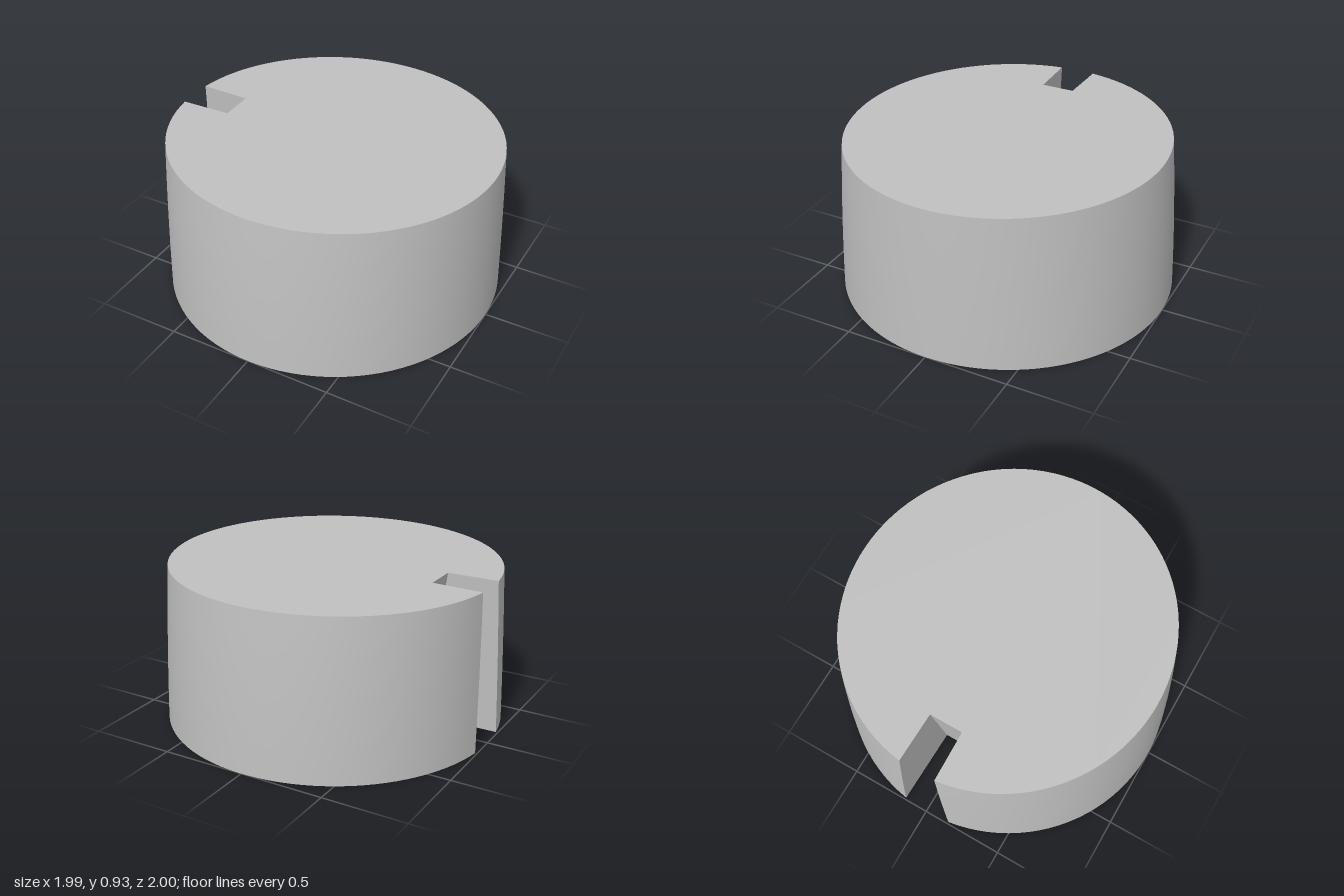
import * as THREE from 'three';

const HEIGHT = 0.93;
const ARC_STEPS = 96;
const LEVELS = 8;
const lerp = THREE.MathUtils.lerp;

// Pocket in the underside: x range, half length along z, depth
const POCKET = { x0: -0.185, x1: 0.305, z: 0.48, depth: 0.72 };

// Outer arc and slot corners at height fraction t, as [x, z]
function section(t) {
  const bulge = t * (1 - t);
  const rx = lerp(1, 0.975, t) + 0.01 * bulge;
  const rz = lerp(1, 0.935, t) + 0.03 * bulge;
  const mouth = lerp(0.15, 0.108, t);
  const end = Math.PI - Math.asin(mouth / rz);
  const arc = [];
  for (let i = 0; i <= ARC_STEPS; i++) {
    const a = lerp(-end, end, i / ARC_STEPS);
    arc.push([rx * Math.cos(a), rz * Math.sin(a)]);
  }
  const xi = lerp(-0.525, -0.67, t);
  const wi = lerp(0.138, 0.1, t);
  return { arc, inner: [[xi, wi], [xi, -wi]] };
}

// Surface between stacked rows of [x, z] points
function strip(rows, y0, y1) {
  const n = rows[0].length;
  const positions = [];
  const index = [];
  rows.forEach((row, j) => {
    const y = lerp(y0, y1, j / (rows.length - 1));
    row.forEach(([x, z], i) => {
      positions.push(x, y, z);
      if (j < rows.length - 1 && i < n - 1) {
        const p = j * n + i;
        index.push(p, p + n, p + 1, p + 1, p + n, p + n + 1);
      }
    });
  });
  const geometry = new THREE.BufferGeometry();
  geometry.setAttribute('position', new THREE.Float32BufferAttribute(positions, 3));
  geometry.setIndex(index);
  geometry.computeVertexNormals();
  return geometry;
}

// Flat horizontal face facing up (dir 1) or down (dir -1)
function cap(outline, y, dir, hole) {
  const toPoints = (pts) => pts.map(([x, z]) => new THREE.Vector2(x, -dir * z));
  const shape = new THREE.Shape(toPoints(outline));
  if (hole) shape.holes.push(new THREE.Path(toPoints(hole)));
  return new THREE.ShapeGeometry(shape).rotateX(-dir * Math.PI / 2).translate(0, y, 0);
}

export function createModel() {
  const model = new THREE.Group();
  model.name = 'slottedPlug';
  const grey = new THREE.MeshStandardMaterial({ color: 0xc0c0c0 });
  grey.name = 'grey';
  const add = (name, geometry) => {
    const mesh = new THREE.Mesh(geometry, grey);
    mesh.name = name;
    model.add(mesh);
  };

  const sections = Array.from({ length: LEVELS + 1 }, (_, j) => section(j / LEVELS));

  // Tapered body, round below and slightly oval on top
  add('outerWall', strip(sections.map((s) => s.arc), 0, HEIGHT));

  // Slot that widens and deepens toward the bottom
  const slotSides = {
    slotFrontWall: (s) => [s.arc[ARC_STEPS], s.inner[0]],
    slotEndWall: (s) => s.inner,
    slotBackWall: (s) => [s.inner[1], s.arc[0]],
  };
  for (const [name, pick] of Object.entries(slotSides)) {
    add(name, strip(sections.map(pick), 0, HEIGHT));
  }

  // Rectangular pocket, open at the bottom
  const { x0, x1, z, depth } = POCKET;
  const corners = [[x0, -z], [x0, z], [x1, z], [x1, -z]];
  corners.forEach((corner, i) => {
    const side = [corner, corners[(i + 1) % 4]];
    add('pocketWall' + (i + 1), strip([side, side], 0, depth));
  });
  add('pocketCeiling', cap(corners, depth, -1));

  // Top and bottom faces
  const outline = (s) => [...s.arc, ...s.inner];
  add('topFace', cap(outline(sections[LEVELS]), HEIGHT, 1));
  add('bottomFace', cap(outline(sections[0]), 0, -1, corners));

  return model;
}
